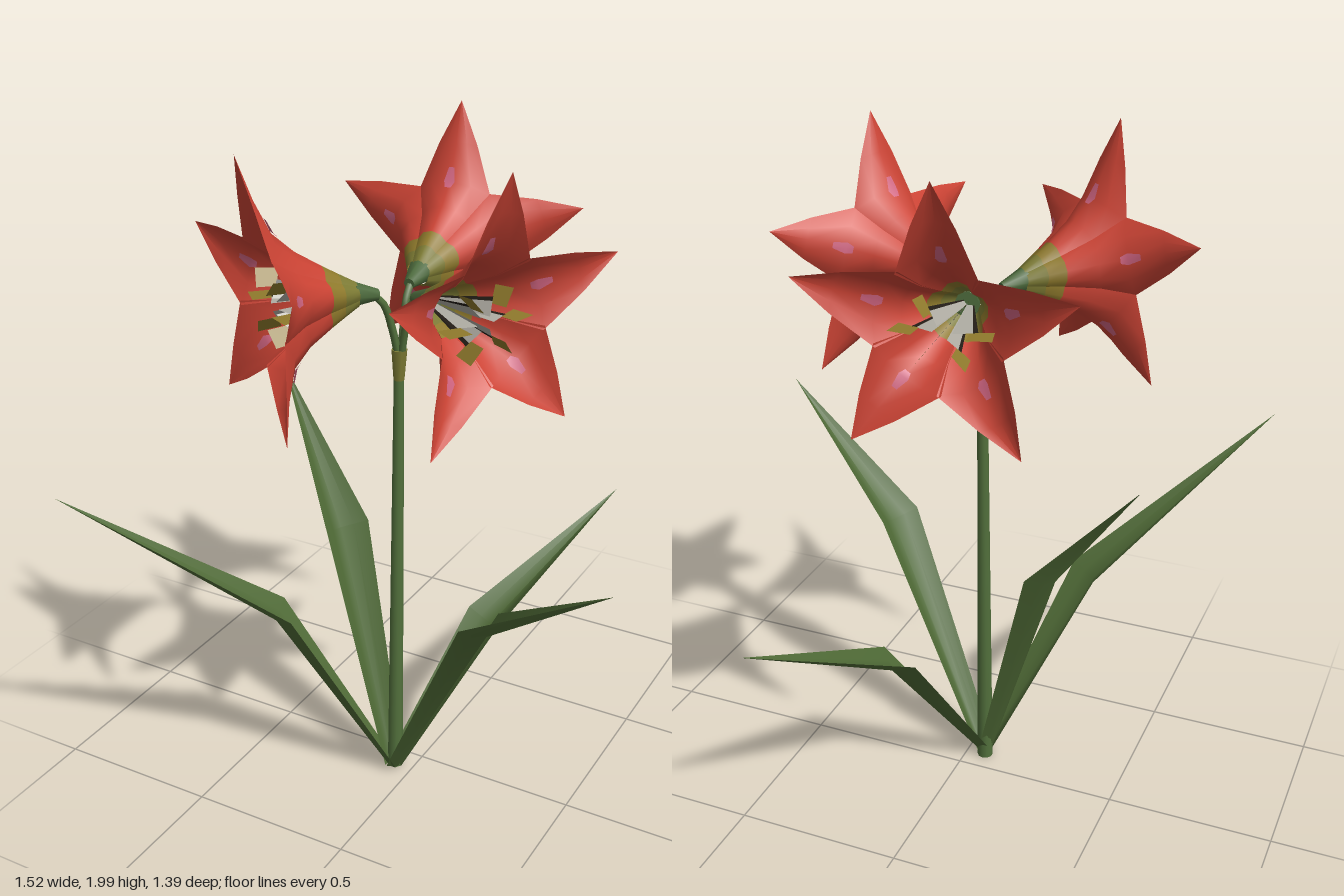
import * as THREE from 'three';

const V = (x, y, z) => new THREE.Vector3(x, y, z);
const mat = (name, color) => {
  const m = new THREE.MeshStandardMaterial({ color, side: THREE.DoubleSide });
  m.name = name;
  return m;
};

// Skin a list of equally long rows of points; matOf(row) picks the material group
function skin(rows, matOf) {
  const n = rows[0].length, pos = [], idx = [];
  rows.forEach(row => row.forEach(p => pos.push(p.x, p.y, p.z)));
  const g = new THREE.BufferGeometry();
  for (let i = 0; i < rows.length - 1; i++) {
    if (matOf) g.addGroup(idx.length, (n - 1) * 6, matOf(i));
    for (let j = 0; j < n - 1; j++) {
      const a = i * n + j, b = a + 1, c = a + n, d = c + 1;
      idx.push(a, b, c, b, d, c);
    }
  }
  g.setAttribute('position', new THREE.Float32BufferAttribute(pos, 3));
  g.setIndex(idx);
  g.computeVertexNormals();
  return g;
}

function add(parent, name, geometry, material) {
  const m = new THREE.Mesh(geometry, material);
  m.name = name;
  parent.add(m);
  return m;
}

// Tapered rod between two points
function rod(parent, name, a, b, ra, rb, material, sides = 8) {
  const dir = b.clone().sub(a);
  const m = add(parent, name, new THREE.CylinderGeometry(rb, ra, dir.length(), sides), material);
  m.position.copy(a).add(b).multiplyScalar(0.5);
  m.quaternion.setFromUnitVectors(V(0, 1, 0), dir.normalize());
}

// Petal rows: ridge depth, ridge radius, edge depth, edge radius, edge angle in degrees
const PETAL = [
  [0.13, 0.035, 0.13, 0.031, 36],
  [0.18, 0.062, 0.18, 0.052, 36],
  [0.225, 0.087, 0.23, 0.072, 36],
  [0.30, 0.132, 0.32, 0.116, 37],
  [0.36, 0.185, 0.40, 0.178, 38],
  [0.41, 0.285, 0.425, 0.280, 12],
  [0.447, 0.392, 0.447, 0.392, 0],
];

// Point on a petal: u runs along it, s across it (-1..1), lift moves it off the surface
function petalPoint(u, s, angle, lift = 0) {
  const i = Math.min(Math.floor(u), PETAL.length - 2), f = u - i;
  const at = (k) => {
    const [dc, rc, de, re, ae] = PETAL[k];
    const a = angle + s * ae * Math.PI / 180;
    const r = rc + (re - rc) * s * s + lift * 0.65;
    const d = dc + (de - dc) * s * s - lift * 0.75;
    const y = r * Math.sin(a);
    return V(r * Math.cos(a), y + 0.06 * (d - 0.44), d + 0.07 * Math.min(0, y));
  };
  return at(i).lerp(at(i + 1), f);
}

const ACROSS = [-1, -0.5, 0, 0.5, 1];

// Flat blade standing on the flower axis, given as corner pairs of [depth, radius]
function blade(parent, name, angle, rows, material) {
  const place = ([d, r]) => V(1.35 * r * Math.cos(angle), r * Math.sin(angle) - 0.018, d);
  add(parent, name, skin(rows.map(row => row.map(place))), material);
}

function makeFlower(M) {
  const flower = new THREE.Group();
  flower.name = 'flower';
  // Green receptacle behind the funnel
  rod(flower, 'receptacle', V(0, -0.03, 0.065), V(0, -0.018, 0.14), 0.016, 0.036, M.calyx, 8);

  for (let k = 0; k < 5; k++) {
    const a = Math.PI / 2 + k * Math.PI * 2 / 5;
    const rows = PETAL.map((_, u) => ACROSS.map(s => petalPoint(u, s, a)));
    add(flower, 'petal', skin(rows, i => Math.min(i, 2)), [M.olive, M.gold, M.red]);
    // Pink flecks on the outside and inside
    for (const lift of [0.004, -0.004]) {
      const fleck = [3.75, 4, 4.35].map((u, i) =>
        [-1, 0, 1].map(s => petalPoint(u, s * (i === 1 ? 0.13 : 0.08), a, lift)));
      add(flower, 'petalFleck', skin(fleck), M.pink);
    }
  }
  // Fan of stamens: pale filaments with a dark rim, ending in gold anthers
  for (let k = 0; k < 6; k++) {
    const a = k * Math.PI / 3;
    blade(flower, 'filament', a, [[[0.14, 0], [0.14, 0.012]], [[0.36, 0.02], [0.34, 0.056]]], M.pale);
    blade(flower, 'darkFilament', a, [[[0.14, 0.012], [0.14, 0.015]], [[0.34, 0.056], [0.335, 0.066]]], M.dark);
    blade(flower, 'anther', a, [[[0.34, 0.05], [0.32, 0.095]], [[0.395, 0.054], [0.385, 0.103]]], M.gold);
  }
  return flower;
}

// Bent strap leaf: widening trough up to the kink, then a straight taper to the tip
function makeLeaf(parent, kink, tip, M) {
  const dir = V(tip.x + 0.055, 0, tip.z - 0.08).normalize();
  const base = V(-0.055, 0.012, 0.083).addScaledVector(dir, 0.01);
  const side = V(dir.z, 0, -dir.x);
  const path = [base, kink, tip], half = [0.033, 0.074, 0], depth = [0.018, 0.046, 0];
  const rows = path.map((p, i) => {
    const t = path[Math.min(i + 1, 2)].clone().sub(path[Math.max(i - 1, 0)]).normalize();
    const under = side.clone().cross(t).normalize();
    if (under.y > 0) under.negate();
    return ACROSS.map(s => p.clone()
      .addScaledVector(side, s * half[i])
      .addScaledVector(under, depth[i] * (0.5 - Math.pow(Math.abs(s), 1.3))));
  });
  add(parent, 'leaf', skin(rows), M.leaf);
}

export function createModel() {
  const M = {
    red: mat('petal red', 0xcb4334),
    gold: mat('throat gold', 0x8f7a2c),
    olive: mat('funnel olive', 0x7c7a33),
    pink: mat('fleck pink', 0xcf6480),
    pale: mat('filament grey', 0xb0ada4),
    dark: mat('filament dark', 0x231d16),
    calyx: mat('calyx green', 0x4c6a3c),
    leaf: mat('leaf green', 0x4f6a36),
    stem: mat('stem green', 0x52703c),
  };
  const plant = new THREE.Group();
  plant.name = 'floweringPlant';

  // Stem and the yellowish sheath at its top
  const foot = V(-0.06, 0, 0.068), top = V(-0.053, 1.32, 0.038);
  rod(plant, 'stem', foot, top, 0.024, 0.015, M.stem, 10);
  rod(plant, 'sheath', V(-0.053, 1.31, 0.038), V(-0.052, 1.40, 0.036), 0.016, 0.023, M.olive, 8);

  // Leaves, as kink and tip
  [
    [V(-0.31, 0.60, 0.295), V(-0.765, 1.06, 0.695)],
    [V(-0.285, 0.75, -0.025), V(-0.59, 1.165, -0.19)],
    [V(0.13, 0.45, -0.185), V(0.34, 0.73, -0.70)],
    [V(0.315, 0.705, 0.23), V(0.76, 1.04, 0.415)],
  ].forEach(([kink, tip]) => makeLeaf(plant, kink, tip, M));

  // Three flowers around the stem top, each on a curved stalk
  [[-0.1, -1], [-0.59, 0.81], [0.92, 0.395]].forEach(([hx, hz]) => {
    const head = new THREE.Group();
    head.name = 'flowerHead';
    head.position.set(-0.05, 1.6, 0.036);
    head.rotation.y = Math.atan2(hx, hz);
    const curve = new THREE.CatmullRomCurve3([
      V(0, -0.23, 0.004), V(0, -0.14, 0.022), V(0, -0.06, 0.048), V(0, -0.028, 0.08)]);
    add(head, 'flowerStalk', new THREE.TubeGeometry(curve, 10, 0.011, 6), M.stem);
    head.add(makeFlower(M));
    plant.add(head);
  });
  return plant;
}
